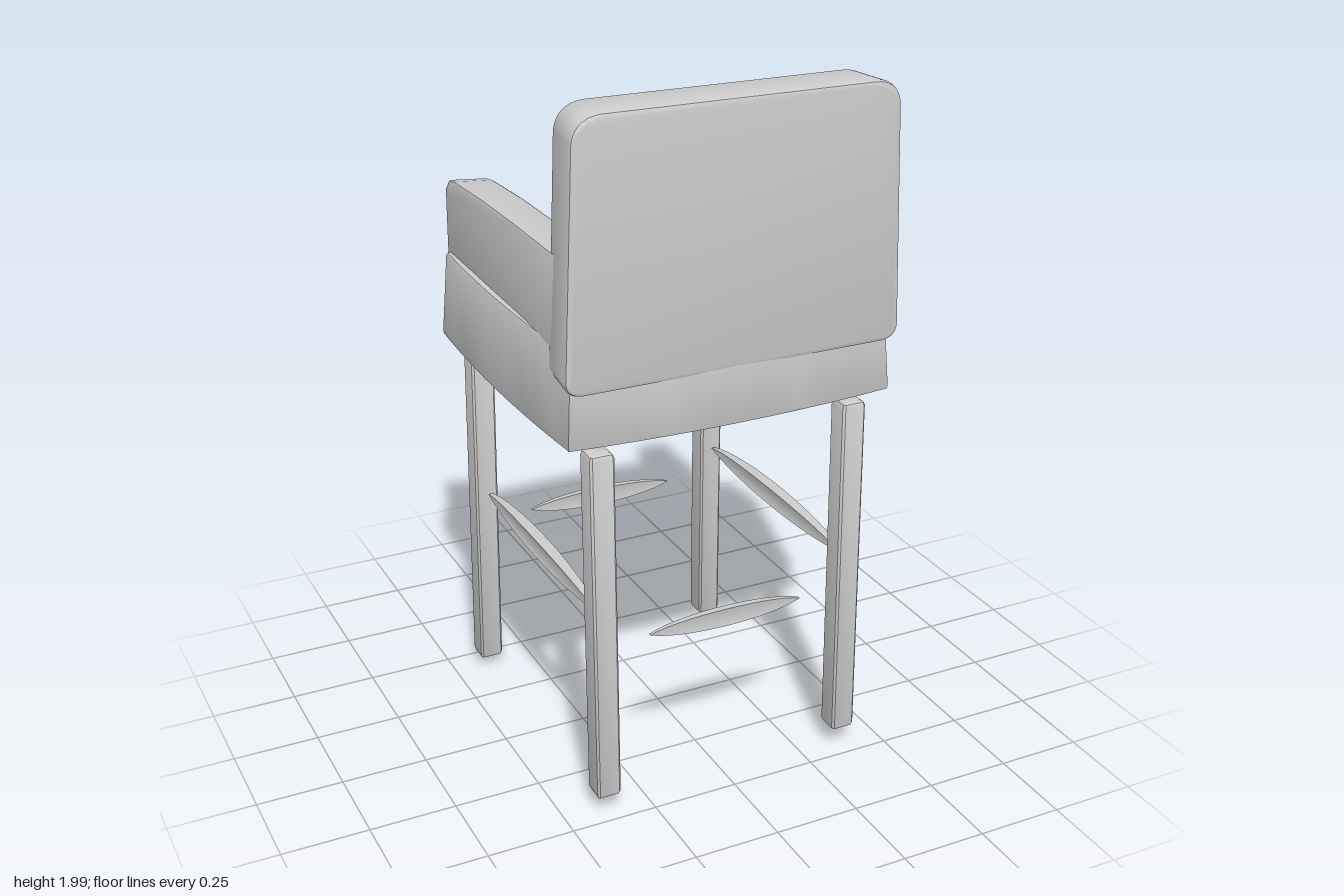
import * as THREE from 'three';
import { toCreasedNormals } from 'three/addons/utils/BufferGeometryUtils.js';

const material = new THREE.MeshStandardMaterial({ color: 0xcccccc });

// Bevelled extrusion centred on z; bevel stays inside the outline and depth
function slab(shape, depth, bevel, steps = 1) {
  const g = new THREE.ExtrudeGeometry(shape, {
    depth: depth - 2 * bevel, steps, curveSegments: 10,
    bevelThickness: bevel, bevelSize: bevel, bevelOffset: -bevel, bevelSegments: 2,
  });
  return g.translate(0, 0, bevel - depth / 2);
}

// Move every vertex by a rule
function warp(g, rule) {
  const p = g.attributes.position, v = new THREE.Vector3();
  for (let i = 0; i < p.count; i++) {
    rule(v.fromBufferAttribute(p, i));
    p.setXYZ(i, v.x, v.y, v.z);
  }
  return g;
}

function part(name, g) {
  const mesh = new THREE.Mesh(toCreasedNormals(g, 0.6), material);
  mesh.name = name;
  return mesh;
}

function polygon(points) {
  return new THREE.Shape(points.map(([x, y]) => new THREE.Vector2(x, y)));
}

// Seat: square cushion with bowed sides, slightly narrower at the top
function seat() {
  const s = new THREE.Shape();
  s.moveTo(-0.475, -0.46);
  s.quadraticCurveTo(0, -0.515, 0.475, -0.46);
  s.quadraticCurveTo(0.51, 0, 0.475, 0.465);
  s.quadraticCurveTo(0, 0.515, -0.475, 0.465);
  s.quadraticCurveTo(-0.51, 0, -0.475, -0.46);
  const g = slab(s, 0.26, 0.012).rotateX(-Math.PI / 2).translate(0, 1.257, 0);
  return part('seat', warp(g, v => {
    const k = 1 - 0.035 * (v.y - 1.127) / 0.26;
    v.x *= k;
    v.z *= k;
  }));
}

// Backrest: rounded panel, wider low down and towards its outer face
function backrest() {
  const s = new THREE.Shape();
  s.moveTo(-0.44, 1.28);
  s.lineTo(0.44, 1.28);
  s.quadraticCurveTo(0.49, 1.285, 0.488, 1.33);
  s.lineTo(0.463, 1.93);
  s.quadraticCurveTo(0.455, 1.995, 0.38, 1.997);
  s.lineTo(-0.38, 2);
  s.quadraticCurveTo(-0.455, 1.995, -0.463, 1.93);
  s.lineTo(-0.488, 1.33);
  s.quadraticCurveTo(-0.49, 1.285, -0.44, 1.28);
  const g = slab(s, 0.155, 0.014).translate(0, 0, 0.4);
  return part('backrest', warp(g, v => {
    v.x *= 1 - 0.04 * (0.478 - v.z) / 0.155;
    v.z += 0.006 * (1 - (v.x / 0.47) ** 2);
  }));
}

// Armrest: side profile given as (z, y), skewed in plan
function armrest(name, x, front, skew) {
  const s = polygon([
    [0.36, 1.37], [0.36, 1.625], [0.1, 1.624], [-0.15, 1.619], [front + 0.08, 1.607],
    [front + 0.03, 1.598], [front, 1.565], [front + 0.012, 1.37],
  ].reverse());
  const g = slab(s, 0.12, 0.008).rotateY(-Math.PI / 2);
  return part(name, warp(g, v => {
    const t = (0.36 - v.z) / (0.36 - front);
    const local = v.x * (1 - 0.1 * (v.y - 1.37) / 0.25);
    v.x = x + local - 0.026 * v.z;
    v.z += skew * local * t;
  }));
}

// Leg: square bar that can lean from its top centre to its foot centre
function leg(name, [x0, y0, z0], [x1, y1, z1]) {
  const w = 0.035, c = 0.006;
  const s = polygon([
    [-w + c, -w], [w - c, -w], [w, -w + c], [w, w - c],
    [w - c, w], [-w + c, w], [-w, w - c], [-w, -w + c],
  ]);
  const g = slab(s, y1 - y0, 0.014).rotateX(-Math.PI / 2).translate(0, (y0 + y1) / 2, 0);
  return part(name, warp(g, v => {
    const t = (v.y - y0) / (y1 - y0);
    v.x += THREE.MathUtils.lerp(x0, x1, t);
    v.z += THREE.MathUtils.lerp(z0, z1, t);
  }));
}

// Stretcher: thin lens, pointed at both ends, fuller on one side
function stretcher(name, length, up, down, thickness, [x, y, z], turn = 0) {
  const h = length / 2, s = new THREE.Shape();
  s.moveTo(-h, 0);
  s.bezierCurveTo(-h * 0.6, -down * 1.33, h * 0.6, -down * 1.33, h, 0);
  s.bezierCurveTo(h * 0.6, up * 1.33, -h * 0.6, up * 1.33, -h, 0);
  const g = new THREE.ExtrudeGeometry(s, { depth: thickness, bevelEnabled: false, curveSegments: 16 });
  g.translate(0, 0, -thickness / 2);
  warp(g, v => { v.z *= 1 - 0.6 * (v.x / h) ** 2; });
  return part(name, g.rotateY(turn).translate(x, y, z));
}

export function createModel() {
  const chair = new THREE.Group();
  chair.name = 'barChair';
  chair.add(
    seat(),
    backrest(),
    armrest('rightArmrest', -0.4, -0.462, 0.3),
    armrest('leftArmrest', 0.395, -0.437, 0.15),
    leg('rightBackrestLeg', [-0.375, 0.06, 0.434], [-0.378, 1.1, 0.42]),
    leg('leftBackrestLeg', [0.375, 0.07, 0.434], [0.375, 1.105, 0.42]),
    leg('rightSeatFrontLeg', [-0.385, 0.04, -0.438], [-0.385, 1.14, -0.412]),
    leg('leftSeatFrontLeg', [0.386, 0.01, -0.438], [0.374, 1.14, -0.412]),
  );
  // Higher side stretchers, lower cross stretchers
  for (const [side, sx] of [['left', 1], ['right', -1]]) {
    chair.add(stretcher(side + 'Stretcher', 0.78, 0.032, 0.022, 0.035, [sx * 0.38, 0.627, 0.015], Math.PI / 2));
  }
  for (const [side, z] of [['rear', 0.42], ['front', -0.425]]) {
    chair.add(stretcher(side + 'CrossStretcher', 0.47, 0.027, 0.027, 0.02, [0.005, 0.518, z]));
  }
  return chair;
}
